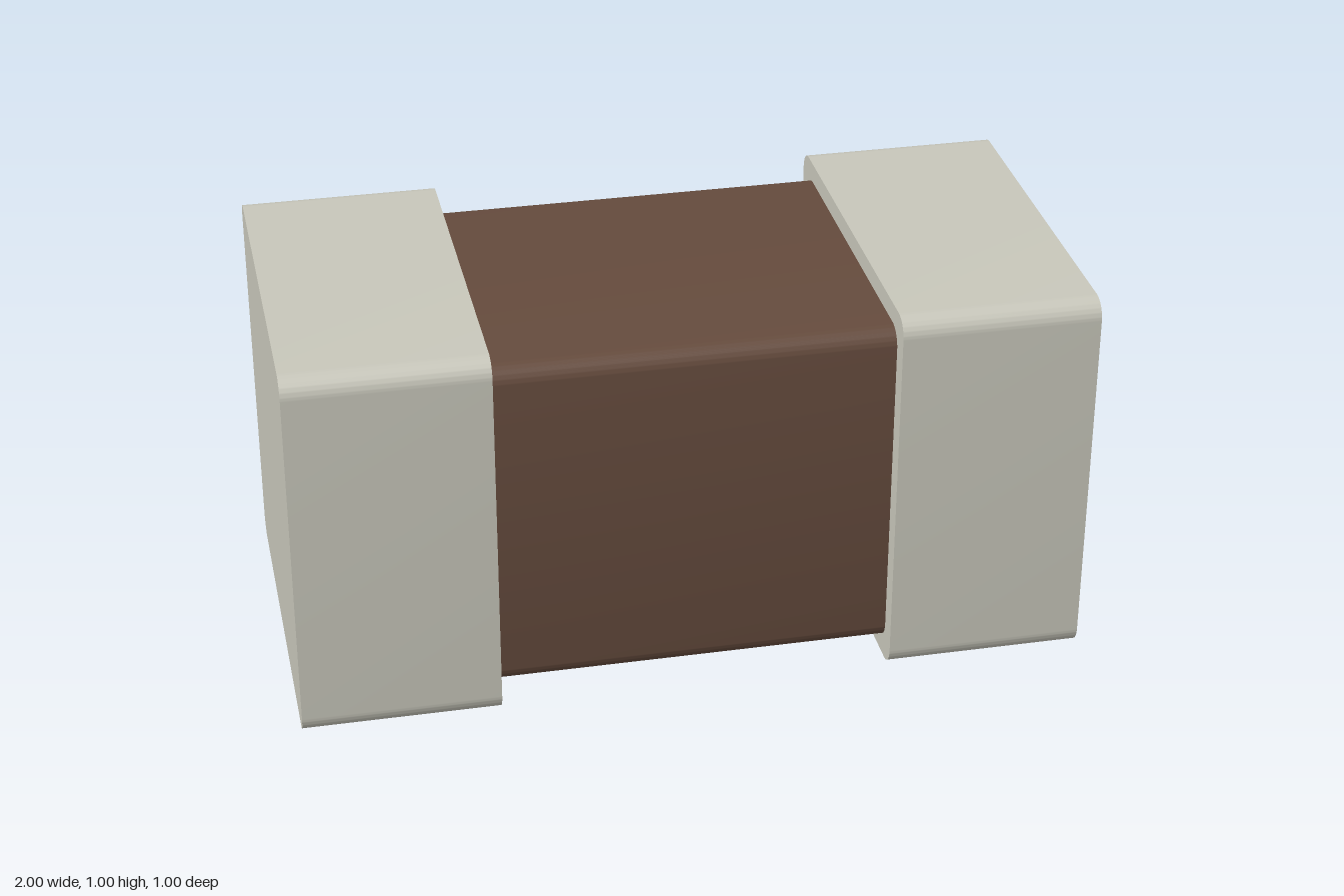
import * as THREE from 'three';
import { toCreasedNormals } from 'three/addons/utils/BufferGeometryUtils.js';

// Square bar with rounded long edges, running along x and centred on the origin
function roundedBar(size, radius, length) {
  const h = size / 2, c = h - radius;
  const shape = new THREE.Shape();
  shape.absarc(c, c, radius, 0, Math.PI / 2);
  shape.absarc(-c, c, radius, Math.PI / 2, Math.PI);
  shape.absarc(-c, -c, radius, Math.PI, Math.PI * 1.5);
  shape.absarc(c, -c, radius, Math.PI * 1.5, Math.PI * 2);
  shape.closePath();
  const geometry = new THREE.ExtrudeGeometry(shape, { depth: length, bevelEnabled: false, curveSegments: 10 });
  geometry.translate(0, 0, -length / 2);
  geometry.rotateY(Math.PI / 2);
  return toCreasedNormals(geometry, 0.6);
}

export function createModel() {
  const group = new THREE.Group();
  group.name = 'chipComponent';
  const ceramic = new THREE.MeshStandardMaterial({ color: 0x654b3d });
  ceramic.name = 'brown ceramic';
  const metal = new THREE.MeshStandardMaterial({ color: 0xc8c7bb });
  metal.name = 'tinned metal';

  // Ceramic body, its ends tucked into the terminals
  const body = new THREE.Mesh(roundedBar(0.9, 0.05, 1.1), ceramic);
  body.name = 'body';
  body.position.y = 0.5;
  group.add(body);

  // Metal terminal at each end
  const terminalGeometry = roundedBar(1, 0.05, 0.5);
  for (const [name, side] of [['leftTerminal', 1], ['rightTerminal', -1]]) {
    const terminal = new THREE.Mesh(terminalGeometry, metal);
    terminal.name = name;
    terminal.position.set(side * 0.75, 0.5, 0);
    group.add(terminal);
  }
  return group;
}
